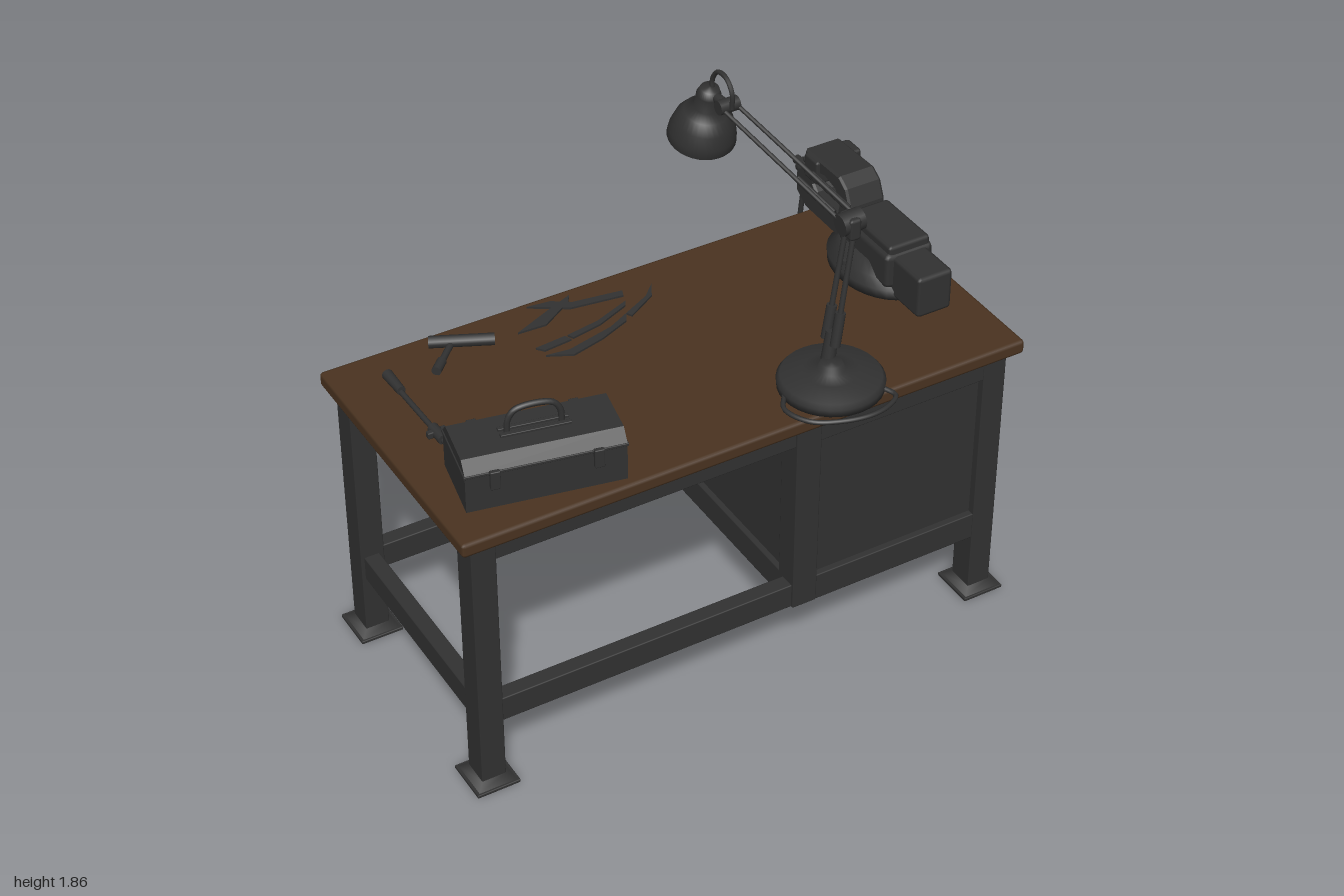
import * as THREE from 'three';
import { RoundedBoxGeometry } from 'three/addons/geometries/RoundedBoxGeometry.js';

export function createModel() {
  const model = new THREE.Group();
  model.name = 'workbench';
  const metal = new THREE.MeshStandardMaterial({ color: 0x313131 });
  metal.name = 'dark metal';
  const wood = new THREE.MeshStandardMaterial({ color: 0x4a3320 });
  wood.name = 'brown wood';

  const V = (x, y, z) => new THREE.Vector3(x, y, z);
  const group = (name, parent = model) => {
    const g = new THREE.Group();
    g.name = name;
    parent.add(g);
    return g;
  };
  const add = (parent, name, geo, x = 0, y = 0, z = 0, mat = metal) => {
    const m = new THREE.Mesh(geo, mat);
    m.name = name;
    m.position.set(x, y, z);
    parent.add(m);
    return m;
  };
  // box given by its limits on each axis
  const box = (parent, name, x0, x1, y0, y1, z0, z1, r = 0.004, mat = metal) =>
    add(parent, name, new RoundedBoxGeometry(x1 - x0, y1 - y0, z1 - z0, 1, r),
      (x0 + x1) / 2, (y0 + y1) / 2, (z0 + z1) / 2, mat);
  // cylinder between two points
  const rod = (parent, name, a, b, r, r2 = r, sides = 12) => {
    const m = add(parent, name, new THREE.CylinderGeometry(r2, r, a.distanceTo(b), sides));
    m.position.copy(a).lerp(b, 0.5);
    m.quaternion.setFromUnitVectors(V(0, 1, 0), b.clone().sub(a).normalize());
    return m;
  };
  const tube = (parent, name, pts, r, seg = 24) =>
    add(parent, name, new THREE.TubeGeometry(new THREE.CatmullRomCurve3(pts), seg, r, 8));
  const lathe = (parent, name, pts, x, y, z, sides = 32) =>
    add(parent, name, new THREE.LatheGeometry(pts.map(p => new THREE.Vector2(...p)), sides), x, y, z);
  // outline extruded upward from the bench, outline given as [x, z]
  const plate = (parent, name, pts, y, h) => {
    const s = new THREE.Shape(pts.map(([x, z]) => new THREE.Vector2(x, -z)));
    const m = add(parent, name, new THREE.ExtrudeGeometry(s, { depth: h, bevelEnabled: false }), 0, y, 0);
    m.rotation.x = -Math.PI / 2;
    return m;
  };

  // Table top
  box(model, 'tableTop', -1, 1, 0.97, 1.02, -0.49, 0.49, 0.012, wood);

  // Legs with flared feet
  for (const x of [-0.92, 0.91]) for (const z of [-0.41, 0.415]) {
    const leg = group('leg');
    box(leg, 'legPost', x - 0.042, x + 0.042, 0.01, 0.97, z - 0.047, z + 0.047);
    box(leg, 'footPlate', x - 0.075, x + 0.075, 0, 0.012, z - 0.08, z + 0.08, 0.003);
    const flare = add(leg, 'footFlare', new THREE.CylinderGeometry(0.06, 0.095, 0.02, 4).rotateY(Math.PI / 4), x, 0.021, z);
    flare.scale.z = 1.1;
  }

  // Aprons and stretchers
  const frame = group('frame');
  for (const [y0, y1] of [[0.89, 0.97], [0.24, 0.33]]) {
    box(frame, 'frontRail', -0.9, 0.2, y0, y1, 0.395, 0.45);
    box(frame, 'backRail', -0.9, 0.2, y0, y1, -0.445, -0.39);
    box(frame, 'leftRail', -0.95, -0.895, y0, y1, -0.38, 0.38);
  }

  // Drawer cabinet with recessed panels
  const cab = group('cabinet');
  box(cab, 'cabinetBody', 0.19, 0.93, 0.24, 0.969, -0.43, 0.435);
  for (const [y0, y1] of [[0.24, 0.34], [0.89, 0.97]]) {
    box(cab, 'frontFrameRail', 0.17, 0.95, y0, y1, 0.42, 0.458);
    for (const x of [0.17, 0.91]) box(cab, 'sideFrameRail', x, x + 0.04, y0, y1, -0.44, 0.455);
  }
  box(cab, 'frontFramePost', 0.17, 0.26, 0.24, 0.97, 0.37, 0.46);
  box(cab, 'backFramePost', 0.17, 0.22, 0.24, 0.97, -0.45, -0.36);
  for (const y of [0.41, 0.62, 0.82]) {
    const drawer = group('drawer', cab);
    box(drawer, 'drawerFront', 0.225, 0.865, y - 0.1, y + 0.1, -0.447, -0.42, 0.008);
    tube(drawer, 'drawerHandle', [V(0.49, y, -0.445), V(0.5, y, -0.49), V(0.53, y - 0.005, -0.507),
      V(0.59, y - 0.005, -0.507), V(0.62, y, -0.49), V(0.63, y, -0.445)], 0.009);
    for (const x of [0.49, 0.63]) box(drawer, 'handlePlate', x - 0.016, x + 0.016, y - 0.012, y + 0.012, -0.455, -0.44, 0.003);
  }
  box(cab, 'drawerTopRail', 0.2, 0.9, 0.925, 0.97, -0.445, -0.42);
  box(cab, 'drawerBottomRail', 0.2, 0.9, 0.24, 0.305, -0.445, -0.42);

  // Toolbox with sloped lid, latches and handle
  const tb = group('toolbox');
  tb.position.set(-0.65, 1.02, 0.29);
  tb.rotation.y = -0.2;
  const end = new THREE.Shape([[-0.12, 0], [0.12, 0], [0.12, 0.135], [0.085, 0.172], [-0.085, 0.172], [-0.12, 0.135]]
    .map(p => new THREE.Vector2(...p)));
  add(tb, 'toolboxBody', new THREE.ExtrudeGeometry(end, { depth: 0.5, bevelEnabled: false })
    .translate(0, 0, -0.25).rotateY(Math.PI / 2));
  box(tb, 'lidRim', -0.254, 0.254, 0.125, 0.135, -0.124, 0.124, 0.002);
  for (const x of [-0.16, 0.16]) for (const s of [-1, 1])
    box(tb, s > 0 ? 'latch' : 'hinge', x - 0.016, x + 0.016, 0.075, 0.14, s * 0.127 - 0.008, s * 0.127 + 0.008, 0.003);
  tube(tb, 'toolboxHandle', [V(-0.085, 0.17, 0), V(-0.08, 0.22, 0), V(-0.055, 0.25, 0), V(0.055, 0.25, 0),
    V(0.08, 0.22, 0), V(0.085, 0.17, 0)], 0.01);
  for (const z of [-0.016, 0.016]) box(tb, 'handleBracket', -0.11, 0.11, 0.17, 0.18, z - 0.008, z + 0.008, 0.002);

  // Desk lamp
  const lamp = group('lamp');
  lathe(lamp, 'lampBase', [[0, 0], [0.17, 0], [0.172, 0.025], [0.16, 0.04], [0.09, 0.055], [0.045, 0.062], [0.035, 0.085], [0, 0.085]],
    0.345, 1.02, 0.37);
  const foot = V(0.355, 1.09, 0.335), elbow = V(0.44, 1.555, 0.305), neck = V(0.295, 1.755, -0.18);
  rod(lamp, 'lampStem', foot, V(0.37, 1.19, 0.33), 0.024, 0.02);
  for (const d of [-0.026, 0.026]) {
    const low = V(0.365, 1.15, 0.33 + d), high = V(0.44, 1.555, 0.307 + d * 0.8);
    rod(lamp, 'lowerArm', low, high, 0.009);
    rod(lamp, 'lowerSleeve', low, low.clone().lerp(high, 0.28), 0.017);
    rod(lamp, 'upperArm', elbow.clone().add(V(d * 1.1, 0.005, 0)), neck.clone().add(V(d, 0, 0)), 0.007);
    rod(lamp, 'upperSpring', V(0.44 + d, 1.565, 0.25), V(0.395 + d, 1.625, 0.11), 0.011);
  }
  rod(lamp, 'elbowJoint', V(0.40, 1.555, 0.305), V(0.475, 1.56, 0.305), 0.036, 0.036, 16);
  box(lamp, 'elbowBracket', 0.415, 0.455, 1.51, 1.585, 0.27, 0.345, 0.01);
  rod(lamp, 'neckJoint', V(0.26, 1.755, -0.18), V(0.33, 1.755, -0.18), 0.024, 0.024, 16);
  rod(lamp, 'neckLink', neck, V(0.285, 1.755, -0.262), 0.016);
  tube(lamp, 'headLoop', [V(0.295, 1.755, -0.155), V(0.295, 1.81, -0.155), V(0.295, 1.846, -0.19),
    V(0.293, 1.846, -0.235), V(0.29, 1.81, -0.262), V(0.288, 1.77, -0.262)], 0.008);
  const shade = lathe(lamp, 'lampShade', [[0, 0.12], [0.05, 0.11], [0.085, 0.07], [0.105, 0], [0.111, 0], [0.108, 0.03],
    [0.094, 0.075], [0.07, 0.11], [0.042, 0.13], [0.04, 0.18], [0.03, 0.205], [0, 0.21]], 0.28, 1.58, -0.31);
  shade.rotation.x = 0.24;
  add(lamp, 'bulb', new THREE.SphereGeometry(0.04, 16, 12), 0.28, 1.655, -0.292);
  tube(lamp, 'lampCable', [V(0.18, 1.03, 0.36), V(0.145, 1.03, 0.42), V(0.18, 1.03, 0.51), V(0.27, 1.03, 0.56),
    V(0.36, 1.03, 0.577), V(0.43, 1.03, 0.565), V(0.48, 1.03, 0.53), V(0.46, 1.035, 0.48)], 0.008, 40);

  // Bench vise
  const vise = group('vise');
  const base = lathe(vise, 'viseBase', [[0, 0], [0.148, 0], [0.15, 0.035], [0.125, 0.06], [0.105, 0.1], [0, 0.1]], 0.825, 1.02, -0.09);
  base.scale.z = 1.4;
  for (const x of [0.705, 0.945]) rod(vise, 'baseBolt', V(x, 1.05, -0.1), V(x, 1.085, -0.1), 0.02, 0.018, 6);
  box(vise, 'viseBody', 0.735, 0.915, 1.06, 1.19, -0.2, 0.09, 0.02);
  box(vise, 'viseAnvil', 0.75, 0.905, 1.12, 1.215, -0.17, 0.08, 0.012);
  box(vise, 'viseNose', 0.76, 0.89, 1.03, 1.18, 0.05, 0.235, 0.014);
  box(vise, 'viseSlide', 0.775, 0.875, 1.09, 1.165, -0.47, -0.1, 0.01);
  // jaw frame profile, as [-z, y]
  const jaw = new THREE.Shape([[0.16, 1.08], [0.43, 1.085], [0.485, 1.12], [0.485, 1.2], [0.435, 1.23], [0.435, 1.295],
    [0.24, 1.3], [0.2, 1.275], [0.175, 1.22]].map(p => new THREE.Vector2(...p)));
  jaw.holes.push(new THREE.Path([[0.235, 1.165], [0.225, 1.21], [0.255, 1.25], [0.32, 1.265], [0.385, 1.25], [0.395, 1.19], [0.37, 1.165]]
    .map(p => new THREE.Vector2(...p))));
  add(vise, 'viseJaw', new THREE.ExtrudeGeometry(jaw, { depth: 0.12, bevelSize: 0.006, bevelThickness: 0.008, bevelSegments: 1 })
    .rotateY(Math.PI / 2), 0.765, 0, 0);
  box(vise, 'jawPlate', 0.745, 0.92, 1.21, 1.298, -0.43, -0.35, 0.01);
  rod(vise, 'jawScrew', V(0.825, 1.2, -0.22), V(0.825, 1.225, -0.38), 0.022);
  rod(vise, 'mainScrew', V(0.825, 1.155, -0.45), V(0.825, 1.155, -0.56), 0.034, 0.028, 16);
  rod(vise, 'screwTip', V(0.825, 1.155, -0.55), V(0.825, 1.155, -0.595), 0.016);
  rod(vise, 'viseHandle', V(0.825, 1.19, -0.53), V(0.825, 0.85, -0.578), 0.009);
  for (const [y, z] of [[1.19, -0.53], [0.85, -0.578]]) add(vise, 'handleKnob', new THREE.SphereGeometry(0.014, 12, 8), 0.825, y, z);

  // Screwdriver beside the toolbox
  const driver = group('screwdriver');
  rod(driver, 'driverGrip', V(-0.83, 1.038, -0.35), V(-0.83, 1.038, -0.25), 0.018, 0.015);
  rod(driver, 'driverShaft', V(-0.83, 1.032, -0.25), V(-0.825, 1.032, 0.15), 0.009);
  rod(driver, 'driverCollar', V(-0.828, 1.035, -0.04), V(-0.826, 1.035, 0.03), 0.018);
  box(driver, 'driverCrossPin', -0.86, -0.795, 1.022, 1.045, -0.025, -0.005);

  // Hammer
  const hammer = group('hammer');
  rod(hammer, 'hammerHead', V(-0.645, 1.038, -0.435), V(-0.455, 1.038, -0.345), 0.02);
  rod(hammer, 'hammerHandle', V(-0.58, 1.034, -0.4), V(-0.685, 1.032, -0.295), 0.011);
  rod(hammer, 'hammerGrip', V(-0.65, 1.034, -0.33), V(-0.69, 1.034, -0.29), 0.016);

  // Flat tools lying on the bench
  const flat = group('flatTools');
  const strips = [
    [[-0.37, -0.35], [-0.23, -0.41], [-0.13, -0.45], [-0.15, -0.42], [-0.27, -0.345]],
    [[-0.28, -0.46], [-0.2, -0.45], [-0.14, -0.41], [0.03, -0.385], [0.02, -0.36], [-0.16, -0.385]],
    [[-0.36, -0.25], [-0.25, -0.26], [-0.24, -0.235], [-0.34, -0.225]],
    [[-0.35, -0.2], [-0.27, -0.19], [-0.1, -0.23], [-0.02, -0.27], [-0.04, -0.235], [-0.15, -0.19], [-0.27, -0.16]],
    [[-0.24, -0.26], [-0.12, -0.28], [0.01, -0.33], [0.0, -0.31], [-0.12, -0.26], [-0.23, -0.24]],
    [[-0.02, -0.27], [0.08, -0.32], [0.13, -0.37], [0.1, -0.315], [-0.01, -0.25]],
  ];
  for (const s of strips) plate(flat, 'flatTool', s, 1.018, 0.009);

  return model;
}
